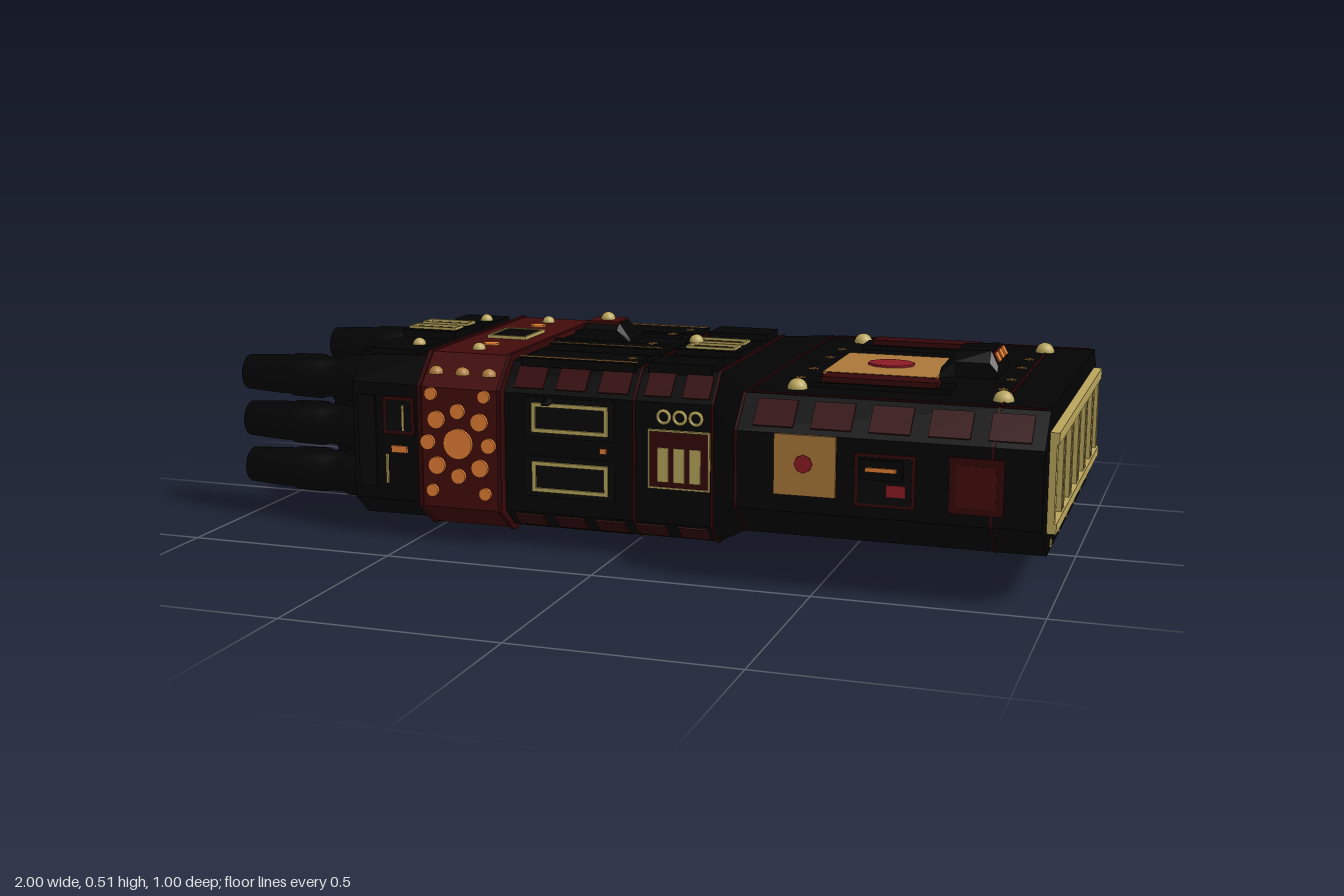
import * as THREE from 'three';

const mat = (name, color) => {
  const m = new THREE.MeshStandardMaterial({ color });
  m.name = name;
  return m;
};

export function createModel() {
  const black = mat('hull black', 0x030303), iron = mat('dark iron', 0x080707);
  const maroon = mat('dark maroon', 0x330608), red = mat('armour red', 0x430a0a);
  const crimson = mat('crimson', 0x8c1b25), orange = mat('glow orange', 0xe57f34);
  const gold = mat('pale gold', 0xb9a55c), amber = mat('amber plate', 0xab773a);
  const root = new THREE.Group();
  root.name = 'cruiser';

  const add = (name, geo, m, x = 0, y = 0, z = 0) => {
    const mesh = new THREE.Mesh(geo, m);
    mesh.name = name;
    mesh.position.set(x, y, z);
    root.add(mesh);
    return mesh;
  };
  const box = (name, m, x0, x1, y0, y1, z0, z1) =>
    add(name, new THREE.BoxGeometry(x1 - x0, y1 - y0, z1 - z0), m, (x0 + x1) / 2, (y0 + y1) / 2, (z0 + z1) / 2);
  // Plate on both flanks, standing out from z = base
  const side = (name, m, x0, x1, y0, y1, base, h = 0.006) => {
    for (const s of [-1, 1])
      add(name, new THREE.BoxGeometry(x1 - x0, y1 - y0, h), m, (x0 + x1) / 2, (y0 + y1) / 2, s * (base + h / 2));
  };
  // Plate on the deck, mirrored in z
  const deck = (name, m, x0, x1, z0, z1, base, h = 0.006) => {
    box(name, m, x0, x1, base, base + h, z0, z1);
    if (z0 !== -z1) box(name, m, x0, x1, base, base + h, -z1, -z0);
  };
  // Rectangular border made with either plate helper
  const frame = (fn, name, m, u0, u1, v0, v1, base, t = 0.009, h = 0.008) => {
    fn(name, m, u0, u1, v0, v0 + t, base, h);
    fn(name, m, u0, u1, v1 - t, v1, base, h);
    fn(name, m, u0, u0 + t, v0 + t, v1 - t, base, h);
    fn(name, m, u1 - t, u1, v0 + t, v1 - t, base, h);
  };
  const sideDisc = (name, m, x, y, base, r, n = 16) => {
    for (const s of [-1, 1])
      add(name, new THREE.CylinderGeometry(r, r, 0.008, n), m, x, y, s * (base + 0.004)).rotation.x = Math.PI / 2;
  };
  const dome = (name, m, x, y, z, r) => {
    for (const s of z ? [-1, 1] : [1])
      add(name, new THREE.SphereGeometry(r, 14, 6, 0, Math.PI * 2, 0, Math.PI / 2), m, x, y, s * z);
  };
  // Small painted cross on the deck
  const cross = (m, x, z, y) => {
    deck('deckMarker', m, x - 0.011, x + 0.011, z - 0.002, z + 0.002, y, 0.004);
    deck('deckMarker', m, x - 0.002, x + 0.002, z - 0.011, z + 0.011, y, 0.004);
  };

  // Eight-sided cross-section as [y, z]: heights, half widths of top, side, bottom
  const section = (y0, ys0, ys1, y1, tw, hw, bw) => [
    [y1, -tw], [y1, tw], [ys1, hw], [ys0, hw], [y0, bw], [y0, -bw], [ys0, -hw], [ys1, -hw]];
  const loft = (name, m, stations) => {
    const p = [], rings = stations.map(([x, s]) => s.map(([y, z]) => [x, y, z]));
    const tri = (a, b, c) => p.push(...a, ...b, ...c);
    for (let k = 0; k + 1 < rings.length; k++)
      for (let i = 0; i < 8; i++) {
        const a = rings[k], b = rings[k + 1], j = (i + 1) % 8;
        tri(a[i], a[j], b[i]);
        tri(a[j], b[j], b[i]);
      }
    const first = rings[0], last = rings[rings.length - 1];
    for (let i = 1; i < 7; i++) {
      tri(first[0], first[i + 1], first[i]);
      tri(last[0], last[i], last[i + 1]);
    }
    const g = new THREE.BufferGeometry();
    g.setAttribute('position', new THREE.Float32BufferAttribute(p, 3));
    g.computeVertexNormals();
    return add(name, g, m);
  };
  // Row of plates lying on a sloping hull edge from [z, y] a to b
  const stripRow = (x0, x1, n, a, b, fill = 0.7) => {
    const w = (x1 - x0) / n, dz = b[0] - a[0], dy = b[1] - a[1];
    for (let i = 0; i < n; i++)
      for (const s of [-1, 1])
        add('edgeArmour', new THREE.BoxGeometry(w * fill, 0.008, Math.hypot(dz, dy) * 0.7), maroon,
          x0 + w * (i + 0.5), (a[1] + b[1]) / 2, s * (a[0] + b[0]) / 2).rotation.x = -Math.atan2(dy, s * dz);
  };

  // Main hull sections
  const mid = section(0.04, 0.085, 0.365, 0.43, 0.27, 0.33, 0.28);
  const bay = section(0.1, 0.175, 0.345, 0.415, 0.405, 0.475, 0.385);
  loft('midHull', black, [[-0.66, mid], [0.23, mid], [0.32, bay], [0.88, bay]]);
  loft('sternHull', black, [[-0.66, section(0.05, 0.09, 0.37, 0.425, 0.28, 0.34, 0.28)],
    [-0.48, section(0.045, 0.09, 0.37, 0.432, 0.28, 0.34, 0.28)]]);
  const ring = section(0.03, 0.085, 0.37, 0.442, 0.28, 0.352, 0.28);
  const rim = section(0.026, 0.083, 0.372, 0.446, 0.282, 0.356, 0.282);
  loft('collar', red, [[-0.485, ring], [-0.275, ring]]);
  for (const x of [-0.485, -0.285]) loft('collarRim', maroon, [[x, rim], [x + 0.01, rim]]);
  const seam = section(0.036, 0.083, 0.367, 0.434, 0.272, 0.334, 0.282);
  for (const x of [0.04, 0.225]) loft('hullSeam', maroon, [[x, seam], [x + 0.006, seam]]);
  const baySeam = section(0.098, 0.174, 0.346, 0.417, 0.406, 0.477, 0.386);
  for (const x of [0.322, 0.972]) loft('hangarSeam', maroon, [[x, baySeam], [x + 0.005, baySeam]].slice(0, x < 0.9 ? 2 : 0).concat(
    x < 0.9 ? [] : [[0.872, baySeam], [0.877, baySeam]]));
  loft('keel', black, [[-0.26, section(0.03, 0.04, 0.045, 0.05, 0.18, 0.19, 0.18)],
    [-0.21, section(0, 0.03, 0.045, 0.05, 0.17, 0.18, 0.14)], [-0.02, section(0, 0.03, 0.045, 0.05, 0.17, 0.18, 0.14)],
    [0.04, section(0.03, 0.04, 0.045, 0.05, 0.18, 0.19, 0.18)]]);

  // Armour along the hull edges
  const midTop = [[0.33, 0.365], [0.27, 0.43]];
  stripRow(-0.27, 0.04, 3, ...midTop);
  stripRow(0.05, 0.23, 2, ...midTop);
  stripRow(-0.655, -0.49, 2, ...midTop);
  stripRow(0.34, 0.97, 5, [0.475, 0.345], [0.405, 0.415]);
  stripRow(-0.27, 0.23, 5, [0.33, 0.085], [0.28, 0.04]);

  // Hangar end: wall with six deep bays
  const wall = new THREE.Shape(bay.map(([y, z]) => new THREE.Vector2(z, y)).reverse());
  for (const z of [-0.335, -0.2, -0.067, 0.067, 0.2, 0.335]) {
    const hole = new THREE.Path();
    hole.moveTo(z - 0.043, 0.175).lineTo(z - 0.043, 0.345).lineTo(z + 0.043, 0.345).lineTo(z + 0.043, 0.175).closePath();
    wall.holes.push(hole);
    box('bayBack', maroon, 0.88, 0.884, 0.17, 0.35, z - 0.045, z + 0.045);
    box('bayDoor', orange, 0.884, 0.89, 0.18, 0.325, z - 0.029, z + 0.029);
    box('endRivet', gold, 0.978, 0.984, 0.115, 0.118, z - 0.01, z + 0.01);
    box('endRivet', gold, 0.978, 0.984, 0.107, 0.126, z - 0.0015, z + 0.0015);
  }
  add('hangarWall', new THREE.ExtrudeGeometry(wall, { depth: 0.1, bevelEnabled: false }), black, 0.88).rotation.y = Math.PI / 2;
  for (const [y0, y1] of [[0.345, 0.37], [0.153, 0.175]]) box('bayBeam', gold, 0.975, 1, y0, y1, -0.403, 0.403);
  for (const z of [-0.268, -0.134, 0, 0.134, 0.268]) {
    box('bayPillar', gold, 0.975, 0.985, 0.175, 0.345, z - 0.024, z + 0.024);
    for (const s of [-1, 1]) box('pillarRib', gold, 0.985, 0.996, 0.175, 0.345, z + s * 0.014 - 0.009, z + s * 0.014 + 0.009);
  }
  for (const z of [-0.391, 0.391]) box('bayPillar', gold, 0.975, 0.995, 0.175, 0.345, z - 0.012, z + 0.012);

  // Hangar flanks
  side('flankPlate', amber, 0.41, 0.545, 0.213, 0.345, 0.475);
  sideDisc('flankMark', crimson, 0.475, 0.283, 0.477, 0.02, 8);
  side('flankPanel', maroon, 0.585, 0.715, 0.2, 0.315, 0.472);
  side('flankPanelInset', iron, 0.592, 0.708, 0.207, 0.308, 0.473);
  side('flankPod', black, 0.6, 0.69, 0.262, 0.305, 0.46, 0.034);
  side('flankLamp', orange, 0.612, 0.678, 0.28, 0.289, 0.492);
  side('flankInsert', crimson, 0.655, 0.695, 0.225, 0.25, 0.475);
  side('flankHatch', maroon, 0.785, 0.9, 0.2, 0.32, 0.473);
  side('flankHatchInset', red, 0.8, 0.885, 0.215, 0.305, 0.475);

  // Hangar deck
  deck('deckPlate', amber, 0.43, 0.69, -0.135, 0.135, 0.415);
  add('deckMark', new THREE.CylinderGeometry(0.055, 0.055, 0.008, 10), crimson, 0.56, 0.422, 0).scale.z = 0.85;
  deck('deckBlockBase', black, 0.44, 0.75, 0.22, 0.3, 0.41, 0.016);
  deck('deckBlock', maroon, 0.465, 0.72, 0.232, 0.29, 0.426, 0.012);
  deck('deckLine', maroon, 0.34, 0.97, 0.392, 0.398, 0.414, 0.004);
  for (const x of [0.42, 0.87]) dome('deckDome', gold, x, 0.415, 0.325, 0.023);
  for (const z of [0.08, 0.2]) for (const x of [0.395, 0.85]) cross(amber, x, z, 0.414);
  loft('bridge', black, [[0.69, section(0.41, 0.415, 0.425, 0.435, 0.075, 0.095, 0.095)],
    [0.72, section(0.41, 0.415, 0.45, 0.472, 0.05, 0.08, 0.09)], [0.8, section(0.41, 0.415, 0.45, 0.476, 0.06, 0.08, 0.09)],
    [0.818, section(0.41, 0.415, 0.43, 0.443, 0.07, 0.08, 0.09)]]);
  add('windowBand', new THREE.BoxGeometry(0.006, 0.028, 0.124), maroon, 0.809, 0.46, 0).rotation.z = 0.5;
  for (const z of [-0.045, 0, 0.045])
    add('bridgeWindow', new THREE.BoxGeometry(0.009, 0.021, 0.028), orange, 0.811, 0.46, z).rotation.z = 0.5;

  // Collar lamps and deck window
  sideDisc('collarLamp', orange, -0.383, 0.24, 0.352, 0.036, 20);
  for (let i = 0; i < 8; i++) {
    const a = i * Math.PI / 4;
    sideDisc('collarLamp', orange, -0.383 + 0.077 * Math.cos(a), 0.24 + 0.077 * Math.sin(a), 0.352, i % 2 ? 0.021 : 0.018);
  }
  for (const x of [-0.45, -0.316]) for (const y of [0.125, 0.355]) sideDisc('collarLamp', orange, x, y, 0.352, 0.015);
  for (const x of [-0.45, -0.383, -0.316]) dome('collarStud', amber, x, 0.398, 0.322, 0.018);
  deck('collarWindow', black, -0.43, -0.335, -0.058, 0.058, 0.442);
  frame((n, m, x0, x1, z0, z1, b, h) => box(n, m, x0, x1, b, b + h, z0, z1), 'collarFrame', gold, -0.433, -0.332, -0.062, 0.062, 0.442, 0.006);
  for (const z of [-0.148, 0.148]) add('collarDeckLamp', new THREE.CylinderGeometry(0.02, 0.02, 0.008, 16), orange, -0.385, 0.442, z);
  dome('collarDome', gold, -0.385, 0.442, 0.22, 0.016);
  for (const z of [-0.15, 0, 0.15]) add('bellyStud', new THREE.CylinderGeometry(0.016, 0.016, 0.008, 12), amber, -0.38, 0.028, z);

  // Middle flanks: framed ports, magazine panel and rings
  for (const [y0, y1] of [[0.277, 0.346], [0.137, 0.208]]) {
    side('portPanel', iron, -0.225, -0.005, y0 - 0.012, y1 + 0.012, 0.329, 0.004);
    frame(side, 'portFrame', gold, -0.206, -0.02, y0, y1, 0.33);
  }
  side('portLamp', orange, -0.04, -0.025, 0.236, 0.248, 0.33);
  side('magazinePanel', maroon, 0.08, 0.22, 0.17, 0.3, 0.33);
  frame(side, 'magazineFrame', gold, 0.077, 0.223, 0.167, 0.303, 0.331, 0.004);
  for (const x of [0.1, 0.138, 0.176]) {
    side('magazineBar', gold, x, x + 0.026, 0.183, 0.262, 0.333);
    for (const s of [-1, 1]) add('ringPort', new THREE.TorusGeometry(0.014, 0.004, 5, 16), gold, x + 0.013, 0.332, s * 0.332);
  }
  for (const s of [-1, 1])
    add('sensorSpike', new THREE.ConeGeometry(0.012, 0.055, 6), black, -0.165, 0.35, s * 0.355).rotation.x = s * Math.PI / 2;

  // Stern flank details, with lamps beside the thrusters
  side('sternPanel', iron, -0.645, -0.6, 0.12, 0.34, 0.339);
  side('sternPanel', maroon, -0.58, -0.5, 0.25, 0.34, 0.339);
  side('sternPanelInset', iron, -0.572, -0.508, 0.258, 0.332, 0.34);
  side('sternLamp', orange, -0.56, -0.52, 0.206, 0.222, 0.34);
  side('sternTrim', gold, -0.575, -0.57, 0.13, 0.2, 0.34);
  side('sternTrim', gold, -0.53, -0.525, 0.26, 0.32, 0.342);
  for (const y of [0.12, 0.237, 0.354])
    for (const s of [-1, 1]) box('thrusterLamp', orange, -0.664, -0.658, y - 0.012, y + 0.012, s * 0.305 - 0.016, s * 0.305 + 0.016);

  // Middle and stern deck
  deck('sternBlock', black, -0.65, -0.51, -0.085, 0.085, 0.42, 0.036);
  deck('sternStep', black, -0.64, -0.52, 0.11, 0.28, 0.42, 0.022);
  frame(deck, 'sternFrame', gold, -0.643, -0.52, 0.012, 0.062, 0.454, 0.006);
  dome('sternDome', gold, -0.55, 0.442, 0.2, 0.016);
  deck('deckStep', black, -0.25, 0.03, 0.17, 0.285, 0.42, 0.02);
  deck('spineDeck', black, -0.25, 0.03, -0.11, 0.11, 0.42, 0.025);
  deck('spineTrim', amber, -0.25, 0.03, 0.088, 0.091, 0.444, 0.003);
  deck('spineRib', iron, -0.25, 0.03, 0.06, 0.08, 0.444, 0.008);
  cross(amber, 0, 0.075, 0.451);
  cross(amber, 0, 0.22, 0.439);
  loft('turretBase', black, [[-0.215, section(0.44, 0.442, 0.45, 0.455, 0.05, 0.06, 0.06)],
    [-0.18, section(0.44, 0.442, 0.475, 0.49, 0.03, 0.05, 0.06)], [-0.1, section(0.44, 0.442, 0.475, 0.49, 0.03, 0.05, 0.06)],
    [-0.065, section(0.44, 0.442, 0.45, 0.455, 0.05, 0.06, 0.06)]]);
  deck('turretPlate', red, -0.178, -0.102, -0.038, 0.038, 0.487, 0.007);
  dome('turretDome', gold, -0.14, 0.494, 0, 0.018);
  deck('foreBlock', black, 0.06, 0.22, -0.085, 0.085, 0.42, 0.025);
  deck('foreStep', black, 0.06, 0.21, 0.18, 0.28, 0.42, 0.025);
  frame(deck, 'foreFrame', gold, 0.08, 0.2, 0.012, 0.068, 0.443, 0.006);
  dome('foreDome', gold, 0.085, 0.45, 0, 0.018);
  for (const x of [-0.22, -0.1, 0.1]) deck('deckPanel', maroon, x, x + 0.05, 0.132, 0.15, 0.428);
  deck('deckSeam', amber, -0.26, 0.03, 0.268, 0.271, 0.44, 0.003);

  // Underside panels
  for (const z of [-0.3, -0.15, 0, 0.15, 0.3]) box('bellyStripe', maroon, 0.36, 0.95, 0.0975, 0.102, z - 0.062, z + 0.062);
  for (const x of [0.08, 0.13, 0.18]) box('bellyRib', iron, x, x + 0.025, 0.036, 0.045, -0.26, 0.26);
  box('keelPlate', maroon, -0.2, -0.03, -0.001, 0.004, -0.11, 0.11);
  deck('bellyPanel', maroon, -0.25, 0.02, 0.2, 0.27, 0.036, 0.008);

  // Stern block and six thrusters
  loft('engineBlock', black, [[-0.83, section(0.13, 0.16, 0.32, 0.35, 0.09, 0.115, 0.09)],
    [-0.8, section(0.1, 0.14, 0.33, 0.37, 0.1, 0.13, 0.1)], [-0.65, section(0.1, 0.14, 0.33, 0.37, 0.1, 0.13, 0.1)]]);
  for (const y of [0.15, 0.315]) box('engineTrim', red, -0.835, -0.828, y, y + 0.015, -0.1, 0.1);
  for (const z of [-0.1, 0.085]) box('engineTrim', red, -0.835, -0.828, 0.165, 0.315, z, z + 0.015);
  const profile = [[0.058, 0], [0.058, 0.09], [0.05, 0.1], [0.05, 0.15], [0.055, 0.16], [0.053, 0.23], [0.046, 0.25],
    [0.049, 0.26], [0.043, 0.36], [0.033, 0.36], [0.031, 0.31], [0, 0.31]].map(([r, h]) => new THREE.Vector2(r, h));
  for (const z of [-0.225, 0.225])
    for (const y of [0.12, 0.237, 0.354])
      add('thruster', new THREE.LatheGeometry(profile, 16), black, -0.64, y, z).rotation.z = Math.PI / 2;

  return root;
}
